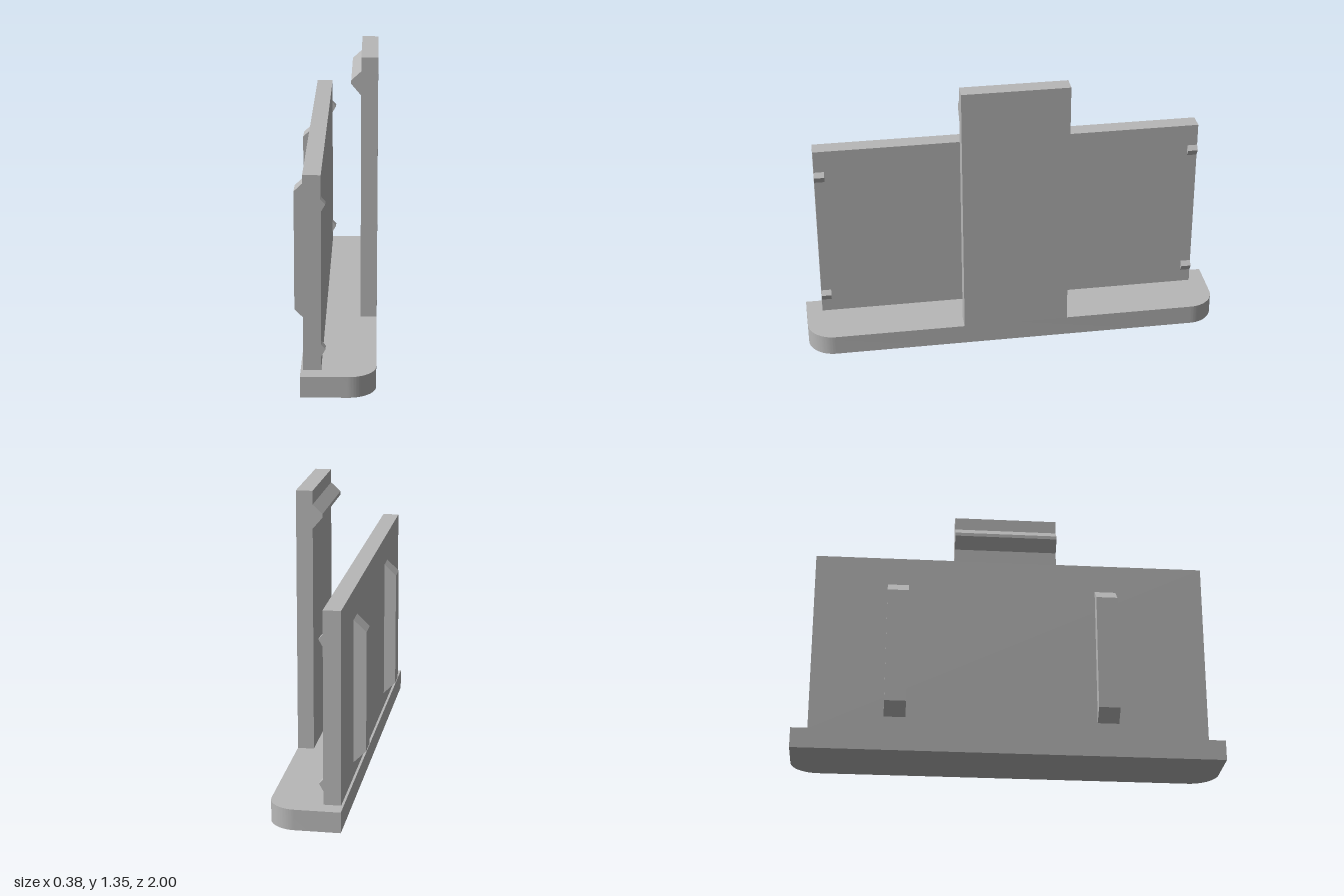
import * as THREE from 'three';
import { toCreasedNormals } from 'three/addons/utils/BufferGeometryUtils.js';

const grey = new THREE.MeshStandardMaterial({ color: 0xb8b8b8 });
grey.name = 'grey plastic';

export function createModel() {
  const model = new THREE.Group();
  model.name = 'clipBracket';

  const add = (name, geometry) => {
    const mesh = new THREE.Mesh(geometry, grey);
    mesh.name = name;
    model.add(mesh);
  };

  // Side profile in x, y (counter-clockwise) extruded from z0 to z1
  const addProfile = (name, points, z0, z1) => {
    const shape = new THREE.Shape(points.map(([x, y]) => new THREE.Vector2(x, y)));
    const geometry = new THREE.ExtrudeGeometry(shape, { depth: z1 - z0, bevelEnabled: false });
    add(name, geometry.translate(0, 0, z0));
  };

  // Base plate, with its two outer corners rounded
  const back = -0.143, front = 0.187, r = 0.125, baseTop = 0.096;
  const outline = new THREE.Shape();
  outline.moveTo(back, -1);
  outline.lineTo(front - r, -1);
  outline.absarc(front - r, -1 + r, r, -Math.PI / 2, 0);
  outline.lineTo(front, 1 - r);
  outline.absarc(front - r, 1 - r, r, 0, Math.PI / 2);
  outline.lineTo(back, 1);
  outline.closePath();
  const base = new THREE.ExtrudeGeometry(outline, { depth: baseTop, bevelEnabled: false, curveSegments: 16 });
  add('base', toCreasedNormals(base.rotateX(-Math.PI / 2), 0.5));

  // Wide panel
  const inner = -0.053, outer = -0.132, panelEnd = 0.923;
  addProfile('panel', [[outer, baseTop], [inner, baseTop], [inner, 0.98], [outer, 0.98]], -panelEnd, panelEnd);

  // Tall latch arm with a full-width tooth near the top
  addProfile('latchArm', [
    [0.11, baseTop], [front, baseTop], [front, 1.347], [0.11, 1.347],
    [0.11, 1.283], [0.064, 1.241], [0.064, 1.224], [0.11, 1.17],
  ], -0.253, 0.25);

  // Two chamfered ribs on the outside of the panel
  for (const z of [-0.53, 0.457]) {
    addProfile('rib', [[outer, 0.167], [outer, 0.842], [-0.19, 0.787], [-0.19, 0.224]].reverse(), z - 0.05, z + 0.05);
  }

  // Four small catches on the inside of the panel, at its corners
  for (const y of [0.193, 0.851]) {
    for (const z of [-panelEnd, panelEnd - 0.048]) {
      addProfile('catch', [[inner, y - 0.033], [-0.034, y], [inner, y + 0.021]], z, z + 0.048);
    }
  }

  return model;
}
